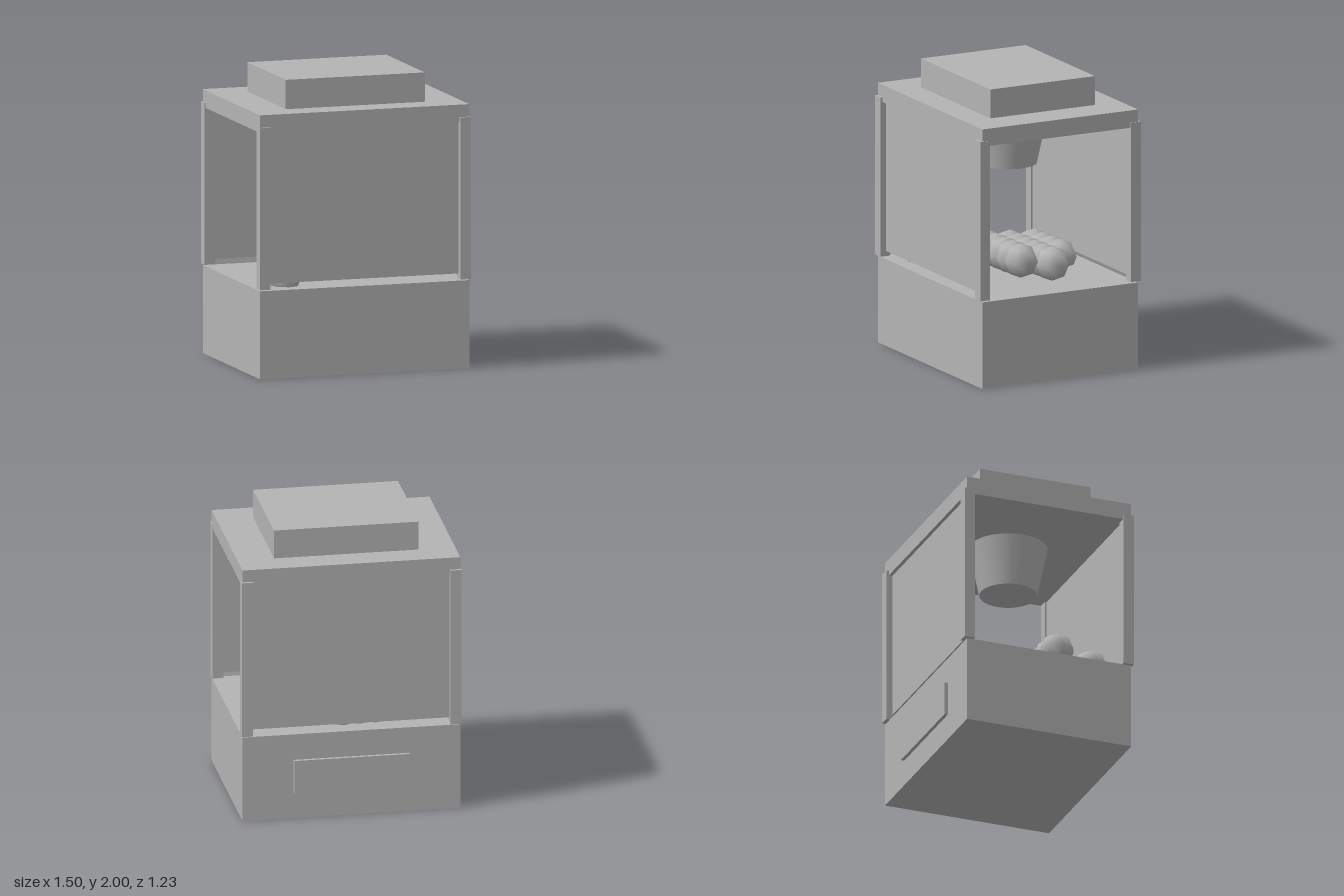
import * as THREE from 'three';

export function createModel() {
  const root = new THREE.Group();
  const grey = new THREE.MeshStandardMaterial({ color: 0xb4b4b4 });
  grey.name = 'grey';

  function add(name, geometry, x, y, z, parent = root) {
    const mesh = new THREE.Mesh(geometry, grey);
    mesh.name = name;
    mesh.position.set(x, y, z);
    parent.add(mesh);
    return mesh;
  }
  const box = (w, h, d) => new THREE.BoxGeometry(w, h, d);

  // Cabinet, roof and top sign block
  add('cabinetBase', box(1.49, 0.6, 1.19), 0, 0.3, 0.003);
  add('roof', box(1.49, 0.12, 1.19), 0, 1.74, 0.003);
  add('topBlock', box(0.99, 0.2, 0.8), 0, 1.9, 0.003);

  // Plate on the back of the cabinet
  add('backPlate', box(0.79, 0.235, 0.03), 0, 0.3, -0.601);

  // Corner posts
  for (const x of [-0.713, 0.713]) {
    for (const z of [-0.573, 0.578]) {
      add('cornerPost', box(0.075, 1.105, 0.075), x, 1.1625, z);
    }
  }

  // Window panels front and back; the sides are open
  add('frontPanel', box(1.4, 1.035, 0.02), 0, 1.1625, 0.563);
  add('backPanel', box(1.4, 1.035, 0.02), 0, 1.1625, -0.557);

  // Tapered hopper hanging from the roof
  add('hopper', new THREE.CylinderGeometry(0.267, 0.195, 0.34, 24), 0, 1.51, 0.003);

  // Rows of balls on the floor of the case: height, depth, first x, step, count, drift in depth
  const balls = new THREE.Group();
  balls.name = 'balls';
  root.add(balls);
  const ballGeometry = new THREE.SphereGeometry(0.12, 8, 4);
  const rows = [
    { y: 0.655, z: 0.4, x: -0.5, step: 0, count: 1, drift: 0 },
    { y: 0.775, z: 0.185, x: -0.43, step: 0.11, count: 9, drift: -0.005 },
    { y: 0.715, z: -0.085, x: -0.135, step: 0.109, count: 6, drift: -0.006 },
    { y: 0.655, z: -0.355, x: -0.3, step: 0.11, count: 4, drift: -0.007 },
  ];
  for (const r of rows) {
    for (let i = 0; i < r.count; i++) {
      add('ball', ballGeometry, r.x + r.step * i, r.y, r.z + r.drift * i, balls);
    }
  }
  return root;
}
